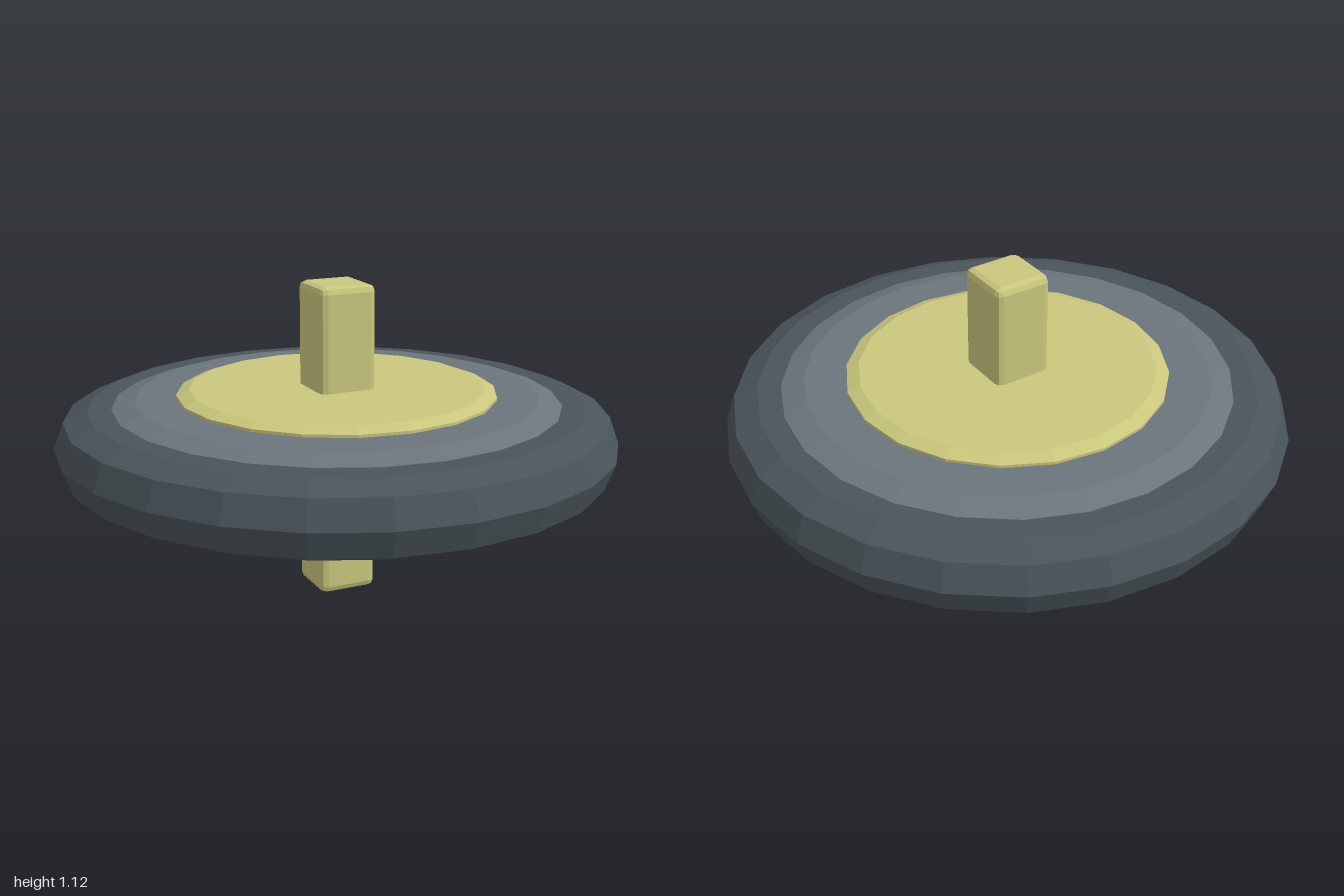
import * as THREE from 'three';
import { RoundedBoxGeometry } from 'three/addons/geometries/RoundedBoxGeometry.js';

const MID = 0.56; // height of the wheel's centre plane

function material(name, color) {
  const m = new THREE.MeshStandardMaterial({ color, flatShading: true });
  m.name = name;
  return m;
}

// Lathe a half profile (radius, height above centre, listed from top to rim) mirrored below
function symmetricLathe(name, half, sides, mat) {
  const top = half.map(([r, h]) => new THREE.Vector2(r, h));
  const bottom = half.filter(([, h]) => h > 0).map(([r, h]) => new THREE.Vector2(r, -h));
  const mesh = new THREE.Mesh(new THREE.LatheGeometry([...bottom, ...top.reverse()], sides), mat);
  mesh.name = name;
  mesh.position.y = MID;
  return mesh;
}

export function createModel() {
  const group = new THREE.Group();
  group.name = 'wheelOnAxle';
  const rubber = material('dark rubber', 0x4a545a);
  const metal = material('grey metal', 0x6c757c);
  const brass = material('pale yellow', 0xc9c77c);

  // Tyre with an eight-sided section
  group.add(symmetricLathe('tyre', [[0.76, 0.132], [0.88, 0.132], [0.965, 0.095], [1, 0]], 24, rubber));

  // Rim disc with sloping edge
  group.add(symmetricLathe('rimDisc', [[0, 0.16], [0.715, 0.16], [0.797, 0.134], [0.797, 0.1]], 24, metal));

  // Raised hub disc with bevelled edge
  group.add(symmetricLathe('hubDisc', [[0, 0.188], [0.525, 0.188], [0.57, 0.17], [0.57, 0.15]], 20, brass));

  // Square axle through the centre
  const axle = new THREE.Mesh(new RoundedBoxGeometry(0.212, 1.12, 0.212, 1, 0.025), brass);
  axle.name = 'axle';
  axle.position.y = MID;
  group.add(axle);

  return group;
}
